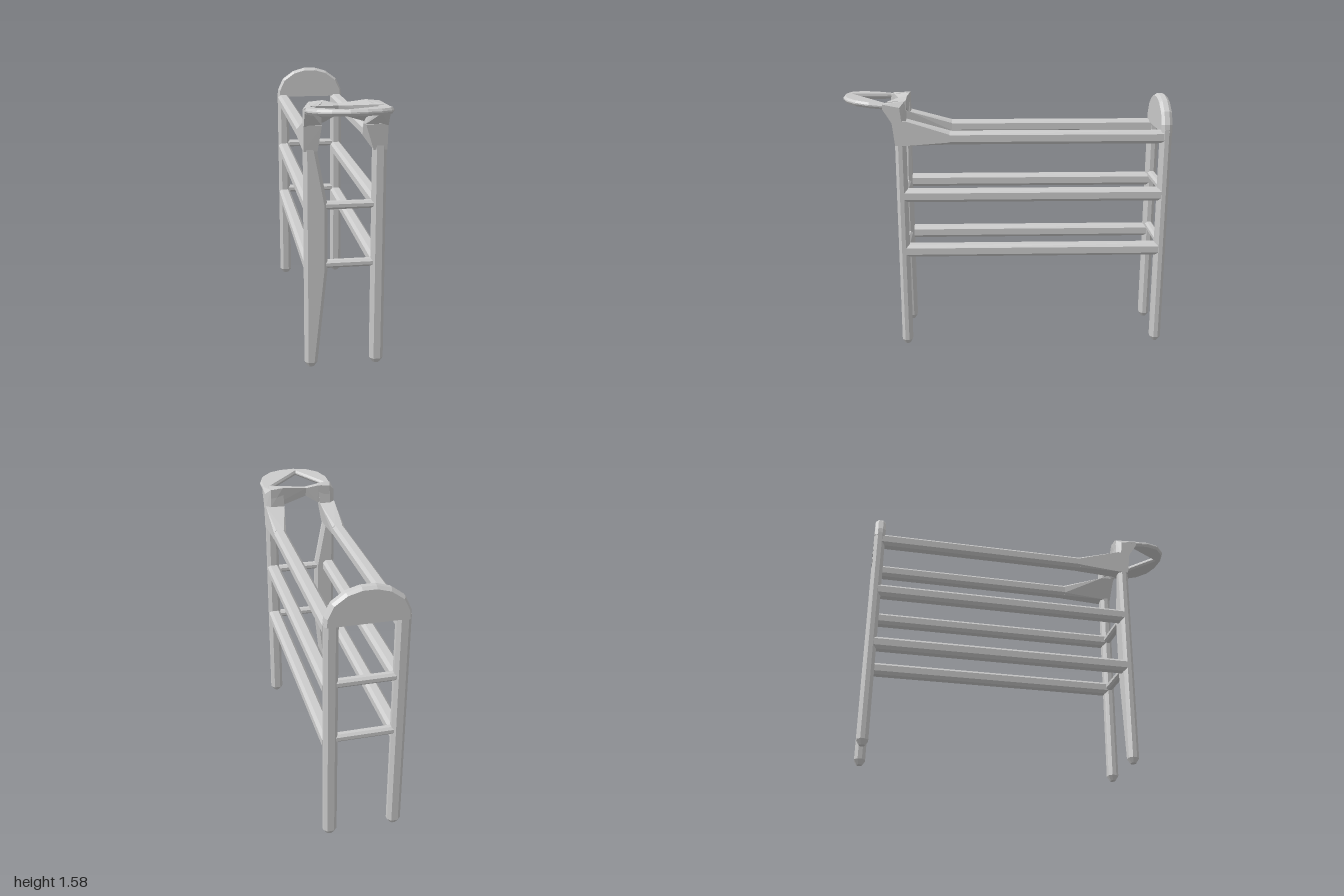
import * as THREE from 'three';
import { ConvexGeometry } from 'three/addons/geometries/ConvexGeometry.js';

const material = new THREE.MeshStandardMaterial({ color: 0xcccccc, flatShading: true, side: THREE.DoubleSide });
const V = (x, y, z) => new THREE.Vector3(x, y, z);

function add(group, name, geometry) {
  const mesh = new THREE.Mesh(geometry, material);
  mesh.name = name;
  group.add(mesh);
  return mesh;
}

// Corners of a rectangle with chamfered corners: [u, v] pairs
function chamfered(u0, u1, v0, v1, c) {
  return [[u0 + c, v0], [u1 - c, v0], [u1, v0 + c], [u1, v1 - c],
    [u1 - c, v1], [u0 + c, v1], [u0, v1 - c], [u0, v0 + c]];
}

// Post made of chamfered sections [y, x0, x1], with a blunt pointed foot
function post(sections, z0, z1) {
  const points = [];
  for (const [y, x0, x1] of sections) {
    for (const [x, z] of chamfered(x0, x1, z0, z1, 0.02)) points.push(V(x, y, z));
  }
  const [, a, b] = sections[0];
  const cx = (a + b) / 2, cz = (z0 + z1) / 2;
  for (const [x, z] of chamfered(cx - 0.02, cx + 0.02, cz - 0.016, cz + 0.016, 0.01)) points.push(V(x, 0.005, z));
  return new ConvexGeometry(points);
}

// Rail along z
function rail(x0, x1, y0, y1, z0, z1) {
  const points = [];
  for (const [x, y] of chamfered(x0, x1, y0, y1, 0.018)) points.push(V(x, y, z0), V(x, y, z1));
  return new ConvexGeometry(points);
}

// Rung along x
function rung(x0, x1, y0, y1, z0, z1) {
  const points = [];
  for (const [z, y] of chamfered(z0, z1, y0, y1, 0.013)) points.push(V(x0, y, z), V(x1, y, z));
  return new ConvexGeometry(points);
}

export function createModel() {
  const model = new THREE.Group();
  model.name = 'rack';

  // Legs: the front right one swells inwards
  add(model, 'frontLeftLeg', post([[0.035, 0.155, 0.235], [1.34, 0.155, 0.235]], 0.61, 0.675));
  add(model, 'frontRightLeg', post([[0.035, -0.235, -0.16], [0.61, -0.235, -0.1],
    [1.0, -0.235, -0.1], [1.32, -0.235, -0.16]], 0.61, 0.675));
  for (const s of [1, -1]) {
    const [x0, x1] = s > 0 ? [0.155, 0.235] : [-0.235, -0.155];
    add(model, s > 0 ? 'backLeftLeg' : 'backRightLeg', post([[0.035, x0, x1], [1.4, x0, x1]], -0.998, -0.932));
    // Long side rails
    for (const y of [0.6, 0.955, 1.315]) {
      add(model, 'sideRail', rail(x0, x1, y, y + 0.077, -0.95, 0.63));
    }
  }

  // Rungs between the legs
  for (const y of [0.62, 0.97]) {
    add(model, 'frontRung', rung(-0.12, 0.175, y, y + 0.045, 0.615, 0.665));
    add(model, 'backRung', rung(-0.175, 0.175, y + 0.033, y + 0.08, -0.99, -0.94));
  }

  // Arched end panel
  const arch = [[0.235, 1.37], [0.23, 1.43], [0.195, 1.505], [0.12, 1.56], [0.04, 1.583]];
  const archPoints = [];
  for (const s of [1, -1]) {
    for (const [x, y] of arch) {
      const bottom = Math.max(y, 1.38);
      archPoints.push(V(s * x, bottom, -0.98), V(s * x, bottom, -0.95));
      for (const z of [-0.998, -0.932]) archPoints.push(V(s * x * 0.95, 1.38 + (bottom - 1.38) * 0.93, z));
    }
  }
  add(model, 'endArch', new ConvexGeometry(archPoints));

  for (const s of [1, -1]) {
    // Bracket flaring from the top rail to the front leg
    const inner = s > 0 ? 0.11 : 0.135;
    const bracket = [];
    for (const [x, y] of chamfered(0.155, 0.235, 1.315, 1.392, 0.015)) bracket.push(V(s * x, y, 0.345));
    for (const z of [0.61, 0.69]) bracket.push(V(s * 0.235, 1.46, z), V(s * inner, 1.455, z));
    for (const z of [0.61, 0.672]) bracket.push(V(s * 0.235, 1.31, z), V(s * 0.157, 1.31, z));
    add(model, 'cornerBracket', new ConvexGeometry(bracket));

    // Neck rising from the bracket to the loop
    add(model, 'loopNeck', new ConvexGeometry([
      V(s * 0.235, 1.45, 0.63), V(s * 0.235, 1.45, 0.69), V(s * inner, 1.45, 0.61), V(s * inner, 1.455, 0.67),
      V(s * 0.205, 1.455, 0.605), V(s * 0.235, 1.53, 0.74), V(s * 0.19, 1.525, 0.735),
      V(s * 0.235, 1.56, 0.74), V(s * 0.19, 1.56, 0.735),
      V(s * 0.235, 1.54, 0.64), V(s * 0.2, 1.575, 0.61), V(s * 0.12, 1.583, 0.61), V(s * 0.14, 1.575, 0.68),
    ]));

    // Wedge narrowing from the neck to the middle
    add(model, 'crossWedge', new ConvexGeometry([
      V(s * 0.2, 1.46, 0.61), V(s * 0.2, 1.575, 0.605), V(s * 0.12, 1.46, 0.62), V(s * 0.12, 1.583, 0.605),
      V(s * 0.2, 1.57, 0.72), V(s * 0.2, 1.52, 0.72),
      V(-0.04, 1.51, 0.63), V(-0.04, 1.515, 0.665), V(-0.04, 1.565, 0.62), V(-0.04, 1.56, 0.67),
    ]));
  }

  // Flat front loop with a V-shaped opening
  const outline = [[0.228, 0.715], [0.228, 0.82], [0.2, 0.9], [0.14, 0.96], [0.06, 0.988], [-0.03, 0.993],
    [-0.12, 0.97], [-0.19, 0.91], [-0.225, 0.82], [-0.228, 0.715],
    [-0.205, 0.715], [-0.04, 0.955], [0.2, 0.715]];
  const loopShape = new THREE.Shape(outline.map(([x, z]) => new THREE.Vector2(x, z)));
  const loop = new THREE.ExtrudeGeometry(loopShape, {
    depth: 0.008, bevelEnabled: true, bevelSegments: 1, bevelThickness: 0.013, bevelSize: 0.01, bevelOffset: -0.003,
  });
  loop.rotateX(Math.PI / 2).translate(0, 0, -0.73).rotateX(-0.1).translate(0, 1.55, 0.73);
  add(model, 'frontLoop', loop);

  return model;
}
